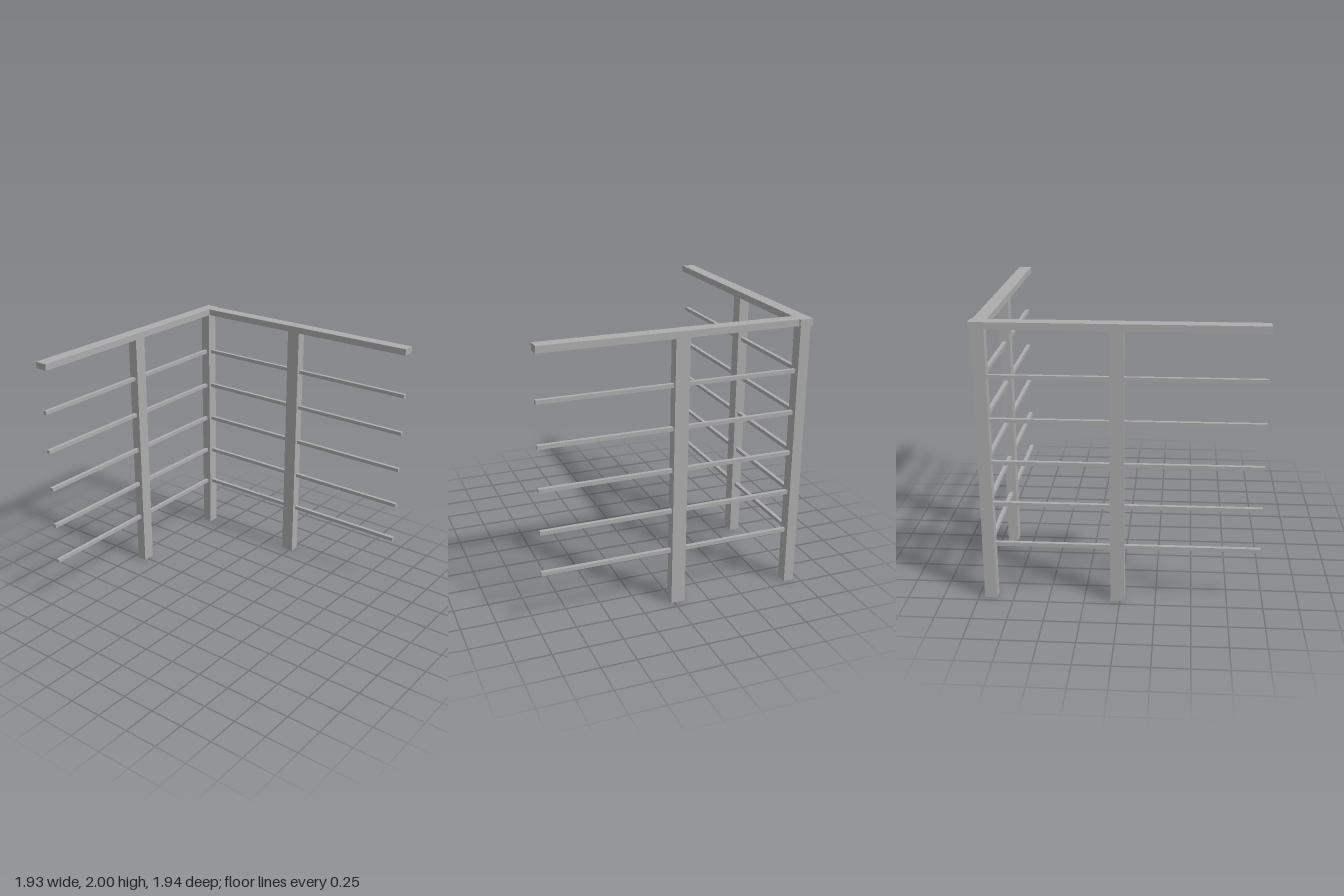
import * as THREE from 'three';

export function createModel() {
  const model = new THREE.Group();
  model.name = 'cornerRailing';
  const metal = new THREE.MeshStandardMaterial({ color: 0xacacac });
  metal.name = 'light grey metal';
  metal.side = THREE.DoubleSide;

  // Box given by its extents; hollow boxes have no top or bottom
  function box(name, [x0, x1], [y0, y1], [z0, z1], hollow = false) {
    const g = new THREE.BoxGeometry(x1 - x0, y1 - y0, z1 - z0);
    if (hollow) {
      const index = Array.from(g.index.array);
      index.splice(12, 12);
      g.setIndex(index);
      g.clearGroups();
    }
    g.translate((x0 + x1) / 2, (y0 + y1) / 2, (z0 + z1) / 2);
    const mesh = new THREE.Mesh(g, metal);
    mesh.name = name;
    model.add(mesh);
  }

  // Hollow posts
  const postY = [0, 1.953];
  box('cornerPost', [-0.957, -0.881], postY, [-0.956, -0.869], true);
  box('sidePost', [-0.957, -0.881], postY, [-0.065, 0.032], true);
  box('backPost', [-0.079, 0.023], postY, [-0.945, -0.869], true);

  // Top handrails
  const railY = [1.952, 2];
  box('sideHandrail', [-0.964, -0.868], railY, [-0.972, 0.972]);
  box('backHandrail', [-0.868, 0.962], railY, [-0.957, -0.862]);

  // Horizontal infill bars, running through the middle posts
  for (let i = 0; i < 5; i++) {
    const y = 0.409 + i * 0.304;
    const barY = [y - 0.014, y + 0.014];
    box('sideBar', [-0.932, -0.904], barY, [-0.88, 0.972]);
    box('backBar', [-0.89, 0.962], barY, [-0.922, -0.894]);
  }
  return model;
}
